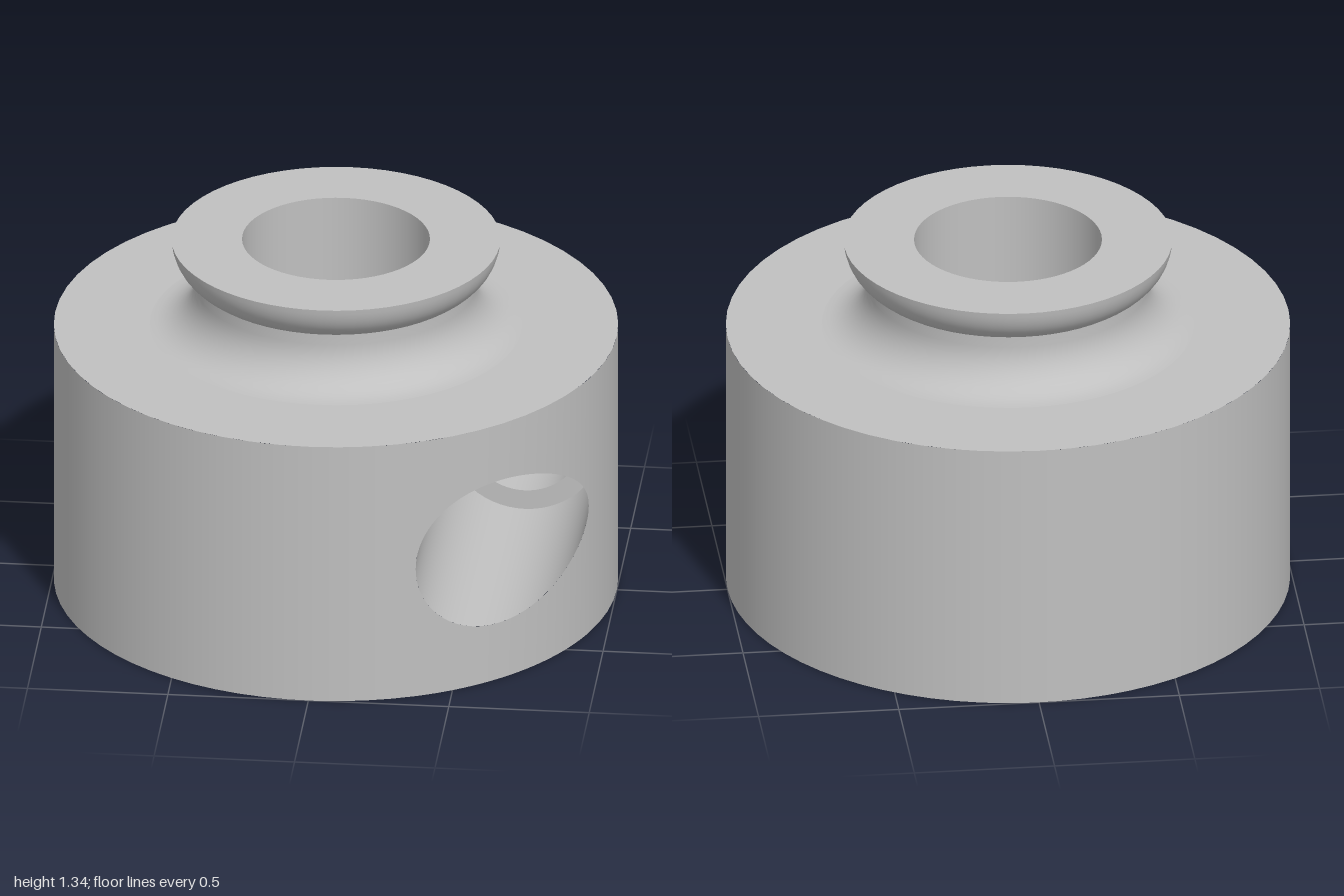
import * as THREE from 'three';

const SEGMENTS = 60;
const HOLE = { x: 0.655, y: 0.5, r: 0.28, floor: -0.17, innerR: 0.207, innerFloor: -0.35 };

// Surface grid: point(u, v) with u, v in 0..1, facing du x dv
function grid(point, nu, nv = 1) {
  const positions = [], index = [];
  for (let i = 0; i <= nu; i++)
    for (let j = 0; j <= nv; j++) positions.push(...point(i / nu, j / nv));
  for (let i = 0; i < nu; i++)
    for (let j = 0; j < nv; j++) {
      const a = i * (nv + 1) + j, b = a + nv + 1;
      index.push(a, b, b + 1, a, b + 1, a + 1);
    }
  const g = new THREE.BufferGeometry();
  g.setAttribute('position', new THREE.Float32BufferAttribute(positions, 3));
  g.setIndex(index);
  g.computeVertexNormals();
  return g;
}

export function createModel() {
  const group = new THREE.Group();
  const metal = new THREE.MeshStandardMaterial({ color: 0xc0c0c0 });
  metal.name = 'plain grey metal';

  const add = (name, geometry) => {
    const mesh = new THREE.Mesh(geometry, metal);
    mesh.name = name;
    group.add(mesh);
    return mesh;
  };
  const lathe = (name, points) =>
    add(name, new THREE.LatheGeometry(points.map(([r, y]) => new THREE.Vector2(r, y)), SEGMENTS));

  // Body wall: plain arc, then strips above and below the side hole
  const a0 = Math.asin(HOLE.x - HOLE.r), a1 = Math.asin(HOLE.x + HOLE.r);
  const wall = new THREE.CylinderGeometry(1, 1, 1, SEGMENTS, 1, true, a1, 2 * Math.PI - (a1 - a0));
  add('bodyWall', wall.translate(0, 0.5, 0));
  const strip = (name, side) => add(name, grid((u, v) => {
    const t = Math.PI * u;
    const x = HOLE.x - HOLE.r * Math.cos(t);
    const edge = HOLE.y + side * HOLE.r * Math.sin(t);
    const y = side > 0 ? edge + (1 - edge) * v : edge * v;
    return [x, y, Math.sqrt(1 - x * x)];
  }, 40));
  strip('wallAboveHole', 1);
  strip('wallBelowHole', -1);

  // Stepped blind hole in the side
  const bore = (name, r, front, back) => add(name, grid((u, v) => {
    const t = 2 * Math.PI * u;
    const x = HOLE.x + r * Math.cos(t);
    const start = front ?? Math.sqrt(1 - x * x);
    return [x, HOLE.y + r * Math.sin(t), start + (back - start) * v];
  }, SEGMENTS));
  bore('sideHoleWall', HOLE.r, null, HOLE.floor);
  bore('sideHoleInnerWall', HOLE.innerR, HOLE.floor, HOLE.innerFloor);
  add('sideHoleLedge', new THREE.RingGeometry(HOLE.innerR, HOLE.r, SEGMENTS))
    .position.set(HOLE.x, HOLE.y, HOLE.floor);
  add('sideHoleFloor', new THREE.CircleGeometry(HOLE.innerR, SEGMENTS))
    .position.set(HOLE.x, HOLE.y, HOLE.innerFloor);

  // Body top, with the fillet sweeping up into the neck
  lathe('bodyTop', [[1, 1], [0.66, 1]]);
  const neck = [];
  for (let i = 0; i <= 10; i++) {
    const t = (i / 10) * Math.PI / 2;
    neck.push([0.66 - 0.16 * Math.sin(t), 1.16 - 0.16 * Math.cos(t)]);
  }
  lathe('neck', [...neck, [0.5, 1.2]]);

  // Flared collar
  const flare = new THREE.QuadraticBezierCurve(
    new THREE.Vector2(0.5, 1.2), new THREE.Vector2(0.575, 1.245), new THREE.Vector2(0.583, 1.335));
  lathe('collar', flare.getPoints(10).map(p => [p.x, p.y]));

  // Rim, stepped central bore and underside: every segment a sharp-edged face
  const core = [
    [0.583, 1.335], [0.333, 1.335], [0.333, 0.667], [0.167, 0.667], [0.167, 0.5], [0.09, 0.5],
    [0.09, 0.333], [0.167, 0.333], [0.167, 0.165], [0.333, 0.165], [0.333, 0], [1, 0],
  ];
  const names = ['collarRim', 'upperBore', 'upperLedge', 'upperStep', 'upperSeat', 'throughHole',
    'lowerSeat', 'lowerStep', 'lowerLedge', 'lowerBore', 'underside'];
  names.forEach((name, i) => lathe(name, [core[i], core[i + 1]]));

  return group;
}
